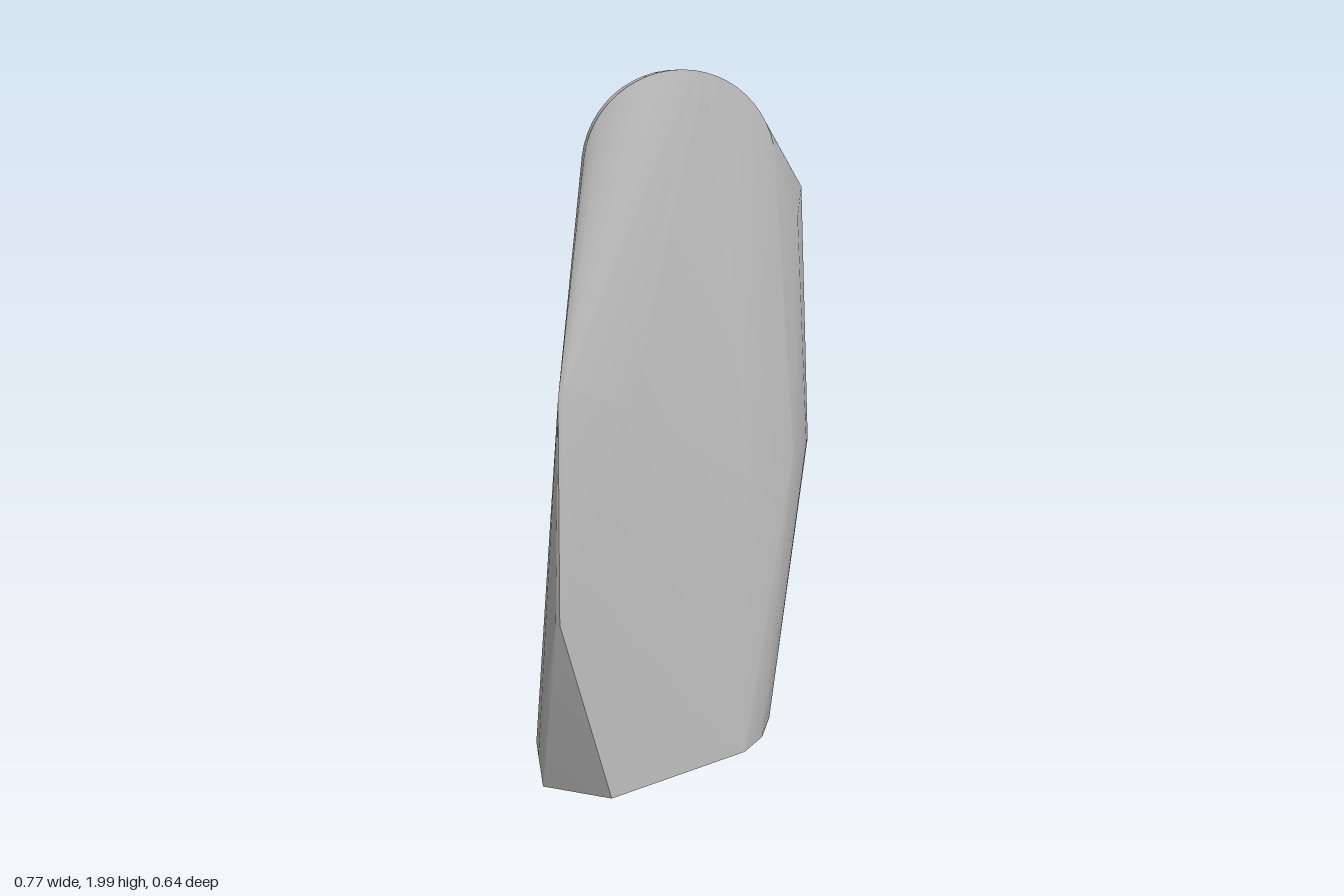
import * as THREE from 'three';
import { ConvexGeometry } from 'three/addons/geometries/ConvexGeometry.js';
import { toCreasedNormals } from 'three/addons/utils/BufferGeometryUtils.js';

export function createModel() {
  const group = new THREE.Group();
  const stone = new THREE.MeshStandardMaterial({ color: 0xbfbfbf });
  stone.name = 'stone grey';
  const pts = [];
  const add = (x, y, z) => pts.push(new THREE.Vector3(x, y, z));

  // Rounded crown: an arched front rim and a narrower arched back rim
  for (let i = 0; i <= 24; i++) {
    const a = Math.PI * (0.04 + 0.92 * i / 24);
    const x = 0.25 * Math.cos(a), y = 1.75 + 0.25 * Math.sin(a);
    add(x, y, 0.255 - 0.6 * x * x);
    if (x < 0.12) add(x, y, 0.155);
  }

  // Arched top of the back face
  for (let i = 0; i <= 24; i++) {
    const a = Math.PI * i / 24;
    add(0.01 + 0.3 * Math.cos(a), 0.98 + 0.3 * Math.sin(a), i === 0 || i === 24 ? -0.29 : -0.322);
  }
  add(-0.26, 0.8, -0.32);
  add(0.28, 0.8, -0.32);

  // Shoulder peak on the left and the bulge below it
  add(0.365, 1.69, 0.01);
  add(0.35, 1.69, -0.085);
  add(0.325, 1.62, 0.15);
  for (const [x, z] of [[0.365, -0.1], [0.38, -0.03], [0.385, 0.03], [0.38, 0.08], [0.365, 0.13], [0.34, 0.185], [0.305, 0.235]])
    add(x, 1.0, z);

  // Front face corners
  add(-0.33, 1.18, 0.318);
  add(-0.315, 1.21, 0.32);
  add(-0.335, 0.57, 0.322);
  add(-0.345, 0.57, 0.308);
  add(-0.15, 1.15, 0.32);
  add(0.17, 0.95, 0.297);

  // Foot edge just above the slanted base
  add(-0.386, 0.1, -0.01);
  add(-0.386, 0.1, 0.09);
  add(0.3, 0.27, 0.03);

  // Slanted flat base
  const base = [[-0.375, 0.1], [-0.375, -0.02], [-0.19, -0.265], [-0.15, -0.28], [0.19, -0.28],
    [0.25, -0.2], [0.275, -0.1], [0.283, 0], [0.27, 0.14], [0.23, 0.24], [0.17, 0.295], [-0.2, 0.31]];
  for (const [x, z] of base) add(x, 0.12 + 0.29 * x, z);

  const body = new THREE.Mesh(toCreasedNormals(new ConvexGeometry(pts), 0.4), stone);
  body.name = 'facetedStone';
  group.add(body);
  return group;
}
